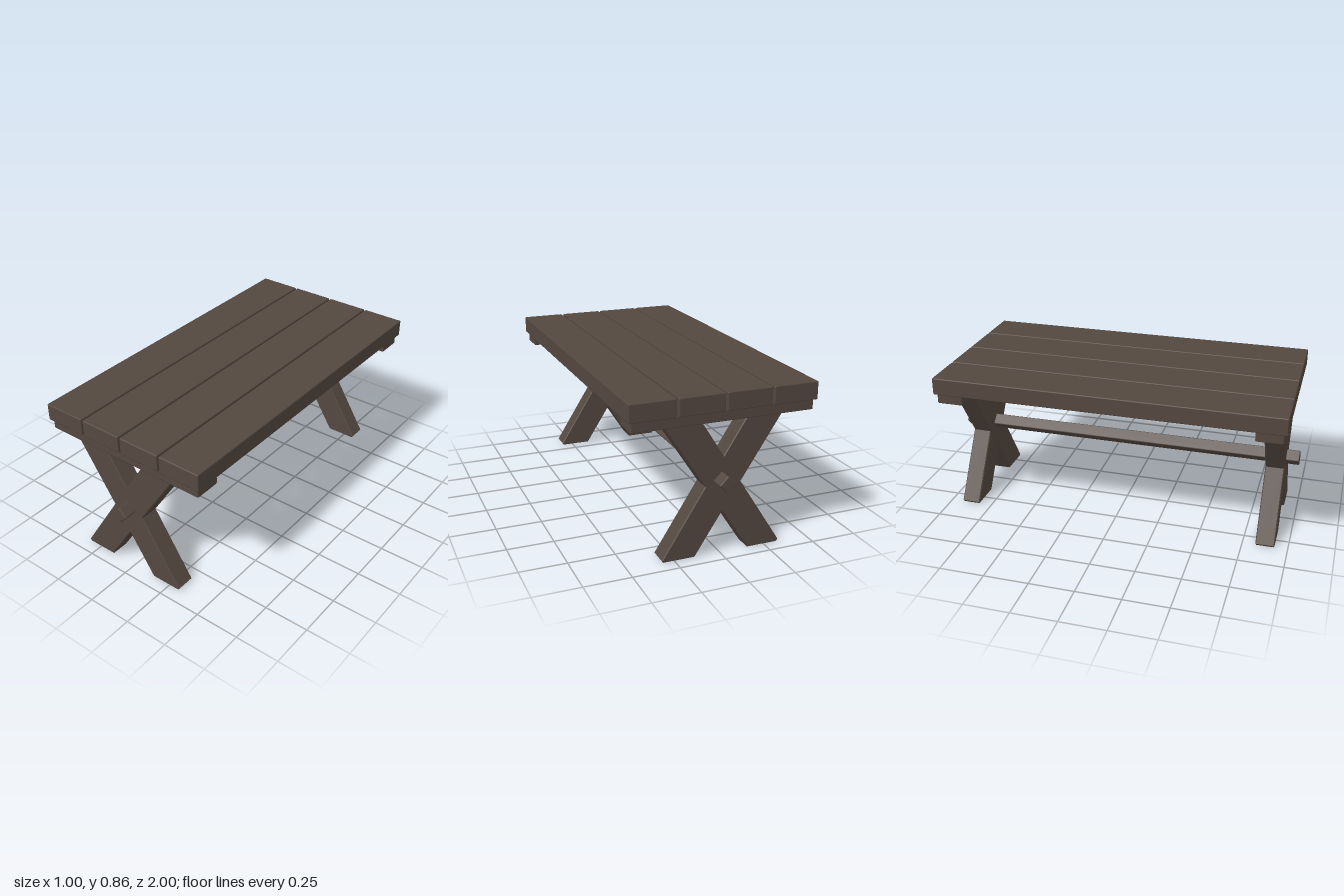
import * as THREE from 'three';
import { RoundedBoxGeometry } from 'three/addons/geometries/RoundedBoxGeometry.js';

const wood = new THREE.MeshStandardMaterial({ color: 0x544840 });

// Timber with slightly softened edges
function beam(name, w, h, d, x, y, z) {
  const mesh = new THREE.Mesh(new RoundedBoxGeometry(w, h, d, 1, 0.006), wood);
  mesh.name = name;
  mesh.position.set(x, y, z);
  return mesh;
}

// X-shaped trestle: half an outline, mirrored, then extruded with a small bevel
function trestleGeometry(thickness) {
  const half = [
    [0, 0.23], [0.148, 0], [0.317, 0], [0.326, 0.012],
    [0.097, 0.375], [0.365, 0.785], [0.165, 0.785], [0, 0.525],
  ];
  const mirrored = half.slice(1, -1).reverse().map(([x, y]) => [-x, y]);
  const shape = new THREE.Shape([...half, ...mirrored].map(([x, y]) => new THREE.Vector2(x, y)));
  const bevel = 0.005;
  return new THREE.ExtrudeGeometry(shape, {
    depth: thickness - 2 * bevel,
    bevelThickness: bevel,
    bevelSize: bevel,
    bevelOffset: -bevel,
    bevelSegments: 1,
  }).translate(0, 0, bevel - thickness / 2);
}

export function createModel() {
  const table = new THREE.Group();
  table.name = 'trestleTable';

  // Table top planks
  for (let i = 0; i < 4; i++) {
    table.add(beam('topPlank' + (i + 1), 0.243, 0.096, 1.92, -0.001 + (i - 1.5) * 0.2525, 0.813, 0));
  }

  // Batten and crossed legs at each end
  const legs = trestleGeometry(0.105);
  for (const [end, side] of [['front', 1], ['back', -1]]) {
    table.add(beam(end + 'Batten', 0.97, 0.058, 0.145, -0.002, 0.739, side * 0.871));
    const trestle = new THREE.Mesh(legs, wood);
    trestle.name = end + 'CrossedLegs';
    trestle.position.set(-0.008, 0, side * 0.875);
    table.add(trestle);
  }

  // Square stretcher turned on its corner, running through both trestles
  const stretcher = beam('stretcher', 0.066, 0.066, 2, 0, 0.4, 0);
  stretcher.rotation.z = Math.PI / 4;
  table.add(stretcher);

  return table;
}
